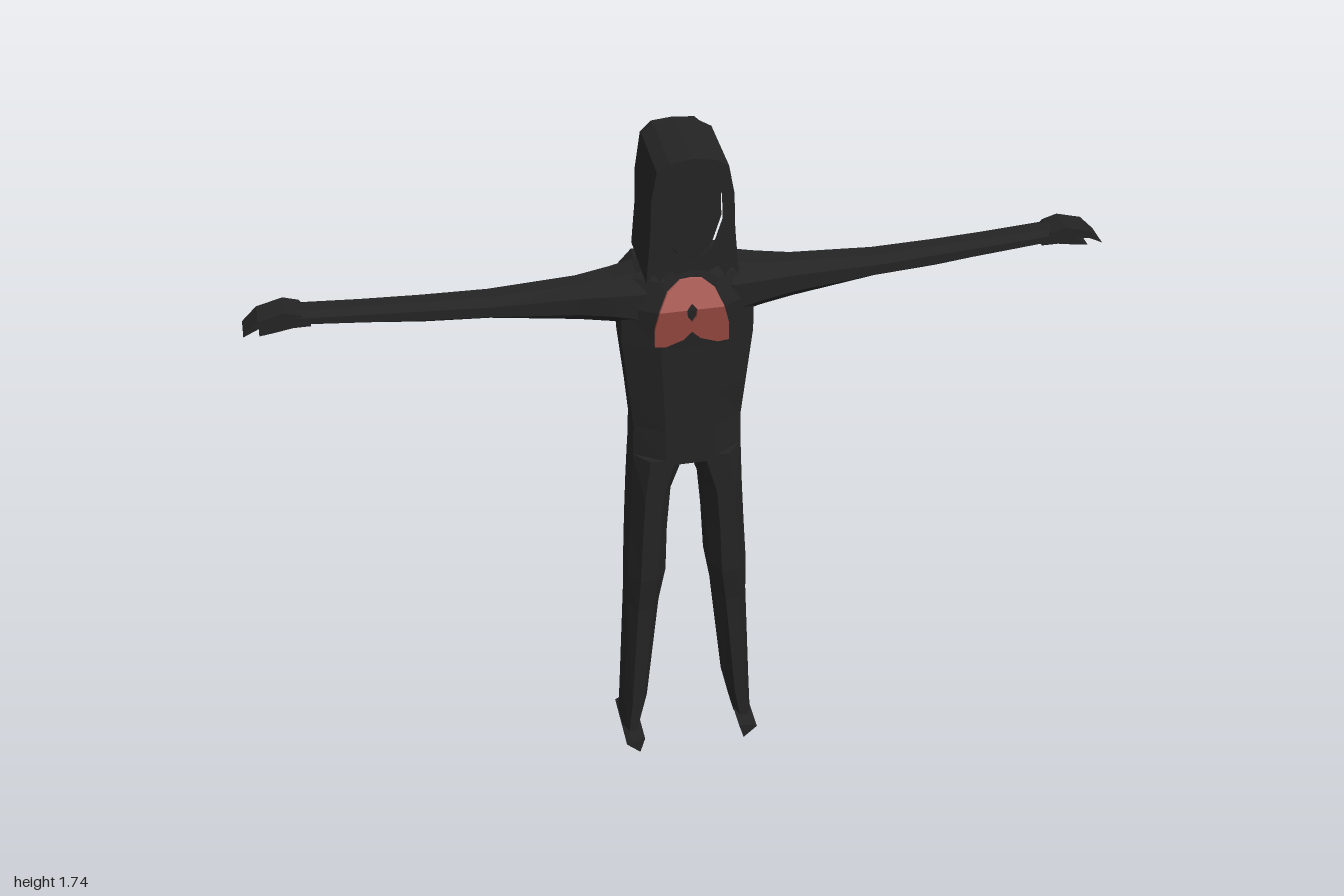
import * as THREE from 'three';

const dark = new THREE.MeshStandardMaterial({ name: 'charcoal', color: 0x242424, flatShading: true });
const red = new THREE.MeshStandardMaterial({ name: 'dullRed', color: 0x94463f, flatShading: true });
const lightRed = new THREE.MeshStandardMaterial({ name: 'paleRed', color: 0xb0605a, flatShading: true });

// Skin a closed solid over rings of points, facing outward
function loft(rings) {
  const n = rings[0].length, tris = [];
  for (let i = 0; i < rings.length - 1; i++) {
    for (let j = 0; j < n; j++) {
      const k = (j + 1) % n, a = rings[i][j], b = rings[i][k], c = rings[i + 1][k], d = rings[i + 1][j];
      tris.push([a, b, c], [a, c, d]);
    }
  }
  const first = rings[0], last = rings[rings.length - 1];
  for (let j = 1; j < n - 1; j++) {
    tris.push([first[0], first[j + 1], first[j]], [last[0], last[j], last[j + 1]]);
  }
  let volume = 0;
  for (const [a, b, c] of tris) volume += a.dot(b.clone().cross(c));
  const points = tris.flatMap(([a, b, c]) => (volume < 0 ? [a, c, b] : [a, b, c]));
  const geometry = new THREE.BufferGeometry().setFromPoints(points);
  geometry.computeVertexNormals();
  return geometry;
}

// Rectangle with cut corners, as [u, v] pairs
function octagon(u0, u1, v0, v1, cut = 0.27) {
  const a = (u1 - u0) * cut, b = (v1 - v0) * cut;
  return [[u0 + a, v0], [u1 - a, v0], [u1, v0 + b], [u1, v1 - b],
    [u1 - a, v1], [u0 + a, v1], [u0, v1 - b], [u0, v0 + b]];
}

// Horizontal sections: [y, x0, x1, z0, z1]
const upright = (rows, s = 1) => loft(rows.map(([y, x0, x1, z0, z1]) =>
  octagon(x0, x1, z0, z1).map(([x, z]) => new THREE.Vector3(x * s, y, z))));

// Sections across an arm: [x, y0, y1, z0, z1]
const sideways = (rows, s) => loft(rows.map(([x, y0, y1, z0, z1]) =>
  octagon(y0, y1, z0, z1).map(([y, z]) => new THREE.Vector3(x * s, y, z))));

const toShape = (pts, s = 1) => new THREE.Shape(pts.map(([x, y]) => new THREE.Vector2(x * s, y)));

function slab(shape, z0, z1) {
  return new THREE.ExtrudeGeometry(shape, { depth: z1 - z0, bevelEnabled: false }).translate(0, 0, z0);
}

// Complete a half outline running from top centre to bottom centre
const mirrored = (half) => [...half, ...half.filter(([x]) => x > 0).reverse().map(([x, y]) => [-x, y])];

export function createModel() {
  const model = new THREE.Group();
  model.name = 'figure';
  const add = (name, geometry, material = dark) => {
    const mesh = new THREE.Mesh(geometry, material);
    mesh.name = name;
    model.add(mesh);
  };

  // Torso and neck
  add('torso', upright([
    [0.9, -0.132, 0.132, -0.072, 0.09],
    [1.0, -0.13, 0.13, -0.064, 0.09],
    [1.1, -0.14, 0.14, -0.055, 0.092],
    [1.24, -0.155, 0.155, -0.06, 0.096],
    [1.34, -0.155, 0.155, -0.065, 0.1],
    [1.41, -0.13, 0.13, -0.06, 0.083],
    [1.45, -0.06, 0.06, -0.05, 0.075],
    [1.5, -0.05, 0.05, -0.05, 0.07],
  ]));

  // Raised panel over the upper back, narrowing to a low point
  const panel = mirrored([[0.11, 1.42], [0.155, 1.37], [0.16, 1.28], [0.1, 1.16], [0.035, 1.1]]);
  add('backPanel', loft([[-0.02, 1], [-0.062, 1], [-0.084, 0.75]].map(([z, k]) =>
    panel.map(([x, y]) => new THREE.Vector3(x * k, 1.29 + (y - 1.29) * k, z)))));

  for (const [side, s] of [['left', 1], ['right', -1]]) {
    // Leg with a tilted, thin foot
    add(side + 'Leg', upright([
      [0.915, 0, 0.132, -0.072, 0.09],
      [0.8, 0.04, 0.137, -0.081, 0.09],
      [0.68, 0.05, 0.143, -0.076, 0.09],
      [0.55, 0.055, 0.15, -0.058, 0.09],
      [0.45, 0.072, 0.152, -0.055, 0.08],
      [0.13, 0.105, 0.166, -0.055, 0.08],
      [0.03, 0.127, 0.171, -0.055, 0.08],
    ], s));
    add(side + 'Foot', slab(toShape([[0.125, 0.045], [0.138, 0], [0.173, 0.033], [0.16, 0.04]], s), -0.055, 0.12));

    // Arm
    add(side + 'Arm', sideways([
      [0.1, 1.27, 1.42, -0.06, 0.075],
      [0.17, 1.295, 1.41, -0.045, 0.07],
      [0.25, 1.31, 1.403, -0.025, 0.06],
      [0.45, 1.33, 1.385, -0.035, 0.043],
      [0.6, 1.338, 1.39, -0.03, 0.037],
      [0.88, 1.37, 1.403, -0.03, 0.038],
    ], s));

    // Hand with curled fingers and a lower thumb
    add(side + 'Hand', slab(toShape([
      [0.85, 1.37], [0.87, 1.4], [0.905, 1.411], [0.965, 1.395], [1, 1.36],
      [0.965, 1.377], [0.935, 1.379], [0.965, 1.358], [0.93, 1.363], [0.89, 1.37],
    ], s), -0.03, 0.037));

    // Chest patch, following the slope of the chest
    const patch = (pts, slope) => {
      const geometry = slab(toShape(pts, s), 0.099, 0.106);
      const p = geometry.attributes.position;
      for (let i = 0; i < p.count; i++) p.setZ(i, p.getZ(i) - slope * (p.getY(i) - 1.345));
      geometry.computeVertexNormals();
      return geometry;
    };
    add(side + 'UpperChestPatch', patch([
      [0, 1.418], [0.025, 1.416], [0.055, 1.39], [0.075, 1.345], [0.012, 1.345], [0, 1.36],
    ], 0.24), lightRed);
    add(side + 'LowerChestPatch', patch([
      [0.012, 1.345], [0.075, 1.345], [0.086, 1.3], [0.086, 1.253], [0.06, 1.25],
      [0.02, 1.265], [0, 1.285], [0, 1.31], [0.01, 1.325],
    ], -0.03), red);
  }

  // Hood with an almond-shaped opening and a ragged hem
  const hood = toShape(mirrored([
    [0, 1.735], [0.05, 1.728], [0.08, 1.71], [0.093, 1.64], [0.096, 1.55], [0.106, 1.43],
    [0.088, 1.452], [0.075, 1.43], [0.058, 1.458], [0.035, 1.446], [0, 1.455],
  ]));
  const opening = mirrored([[0, 1.7], [0.045, 1.69], [0.065, 1.64], [0.067, 1.58], [0.045, 1.51], [0, 1.465]]);
  hood.holes.push(toShape(opening));
  add('hood', slab(hood, -0.075, 0.108));
  add('face', slab(toShape(opening), -0.07, 0.095));

  // Raised strip of the hood behind the head
  add('hoodBack', slab(toShape(mirrored([
    [0, 1.72], [0.05, 1.715], [0.075, 1.69], [0.088, 1.6], [0.09, 1.43],
    [0.073, 1.45], [0.056, 1.43], [0.038, 1.45], [0.02, 1.43], [0, 1.45],
  ])), -0.117, -0.07));

  return model;
}
